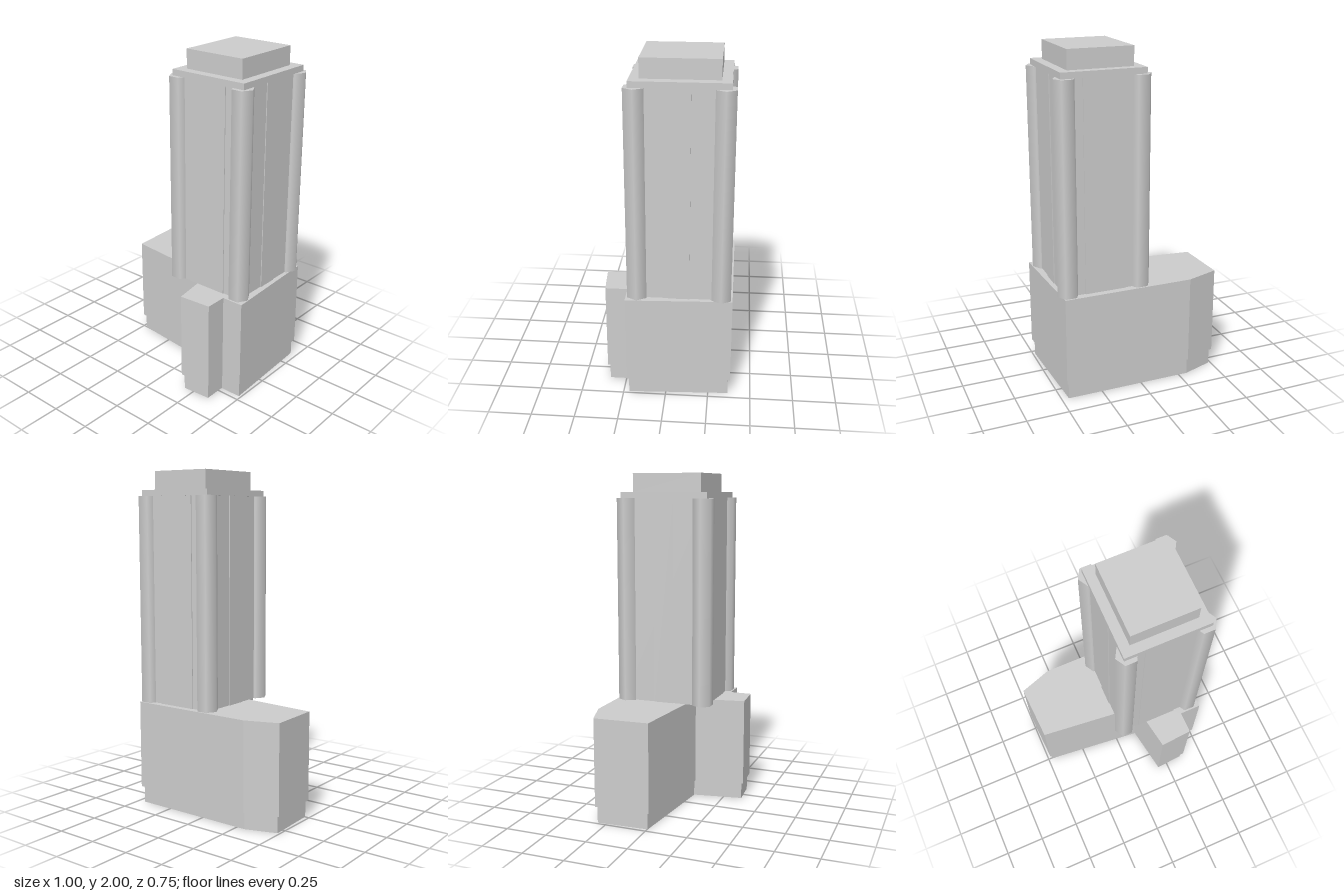
import * as THREE from 'three';

const concrete = new THREE.MeshStandardMaterial({ color: 0xcccccc });
concrete.name = 'concrete grey';
const wallConcrete = concrete.clone(); // same grey, seen from both sides
wallConcrete.name = 'concrete grey walls';
wallConcrete.side = THREE.DoubleSide;

// podium outline as [x, z], clockwise from above
const outline = [
  [-0.5, -0.315], [-0.305, -0.38], [0.47, -0.38], [0.5, 0.23], [0.37, 0.23],
  [0.37, 0.36], [0.175, 0.375], [0.125, 0.078], [-0.485, 0.015],
];

// mitred inward offset of a closed outline
function inset(points, distance) {
  const n = points.length;
  const inward = points.map(([x, z], i) => {
    const [x2, z2] = points[(i + 1) % n];
    const length = Math.hypot(x2 - x, z2 - z);
    return [-(z2 - z) / length, (x2 - x) / length];
  });
  return points.map(([x, z], i) => {
    const a = inward[(i + n - 1) % n], b = inward[i];
    const k = distance / (1 + a[0] * b[0] + a[1] * b[1]);
    return [x + (a[0] + b[0]) * k, z + (a[1] + b[1]) * k];
  });
}

// solid prism standing on an outline
function prism(points, y0, y1) {
  const shape = new THREE.Shape(points.map(([x, z]) => new THREE.Vector2(x, -z)));
  const geometry = new THREE.ExtrudeGeometry(shape, { depth: y1 - y0, bevelEnabled: false });
  return geometry.rotateX(-Math.PI / 2).translate(0, y0, 0);
}

// open ring of walls standing on an outline
function walls(points, y0, y1) {
  const positions = [];
  points.forEach(([ax, az], i) => {
    const [bx, bz] = points[(i + 1) % points.length];
    positions.push(ax, y0, az, ax, y1, az, bx, y1, bz);
    positions.push(ax, y0, az, bx, y1, bz, bx, y0, bz);
  });
  const geometry = new THREE.BufferGeometry();
  geometry.setAttribute('position', new THREE.Float32BufferAttribute(positions, 3));
  geometry.computeVertexNormals();
  return geometry;
}

// box given by its limits on each axis
function block(x0, x1, y0, y1, z0, z1) {
  return new THREE.BoxGeometry(x1 - x0, y1 - y0, z1 - z0)
    .translate((x0 + x1) / 2, (y0 + y1) / 2, (z0 + z1) / 2);
}

export function createModel() {
  const model = new THREE.Group();
  model.name = 'towerBuilding';
  const add = (name, geometry, material = concrete) => {
    const mesh = new THREE.Mesh(geometry, material);
    mesh.name = name;
    model.add(mesh);
  };

  // recessed ground floor, open below, and the podium over it
  add('groundFloorWalls', walls(inset(outline, 0.013), 0, 0.1), wallConcrete);
  add('podium', prism(outline, 0.1, 0.63));

  // tower shaft with shallow raised panels on its four sides
  const base = 0.63, eaves = 1.855;
  add('towerShaft', block(-0.022, 0.452, base, eaves, -0.337, 0.187));
  add('frontBackPanels', block(0.09, 0.335, base, eaves, -0.342, 0.192));
  add('sidePanels', block(-0.027, 0.457, base, eaves, -0.135, -0.015));

  // six-sided corner columns with smooth shading
  for (const x of [-0.001, 0.431]) {
    for (const z of [-0.315, 0.165]) {
      const column = new THREE.CylinderGeometry(0.0635, 0.0635, eaves - base, 6, 1, false, Math.PI / 2);
      add('cornerColumn', column.translate(x, (base + eaves) / 2, z));
    }
  }

  // roof slab and penthouse
  add('roofSlab', block(-0.03, 0.46, eaves, 1.89, -0.345, 0.195));
  add('penthouse', block(0.025, 0.405, 1.89, 2, -0.29, 0.14));

  return model;
}
